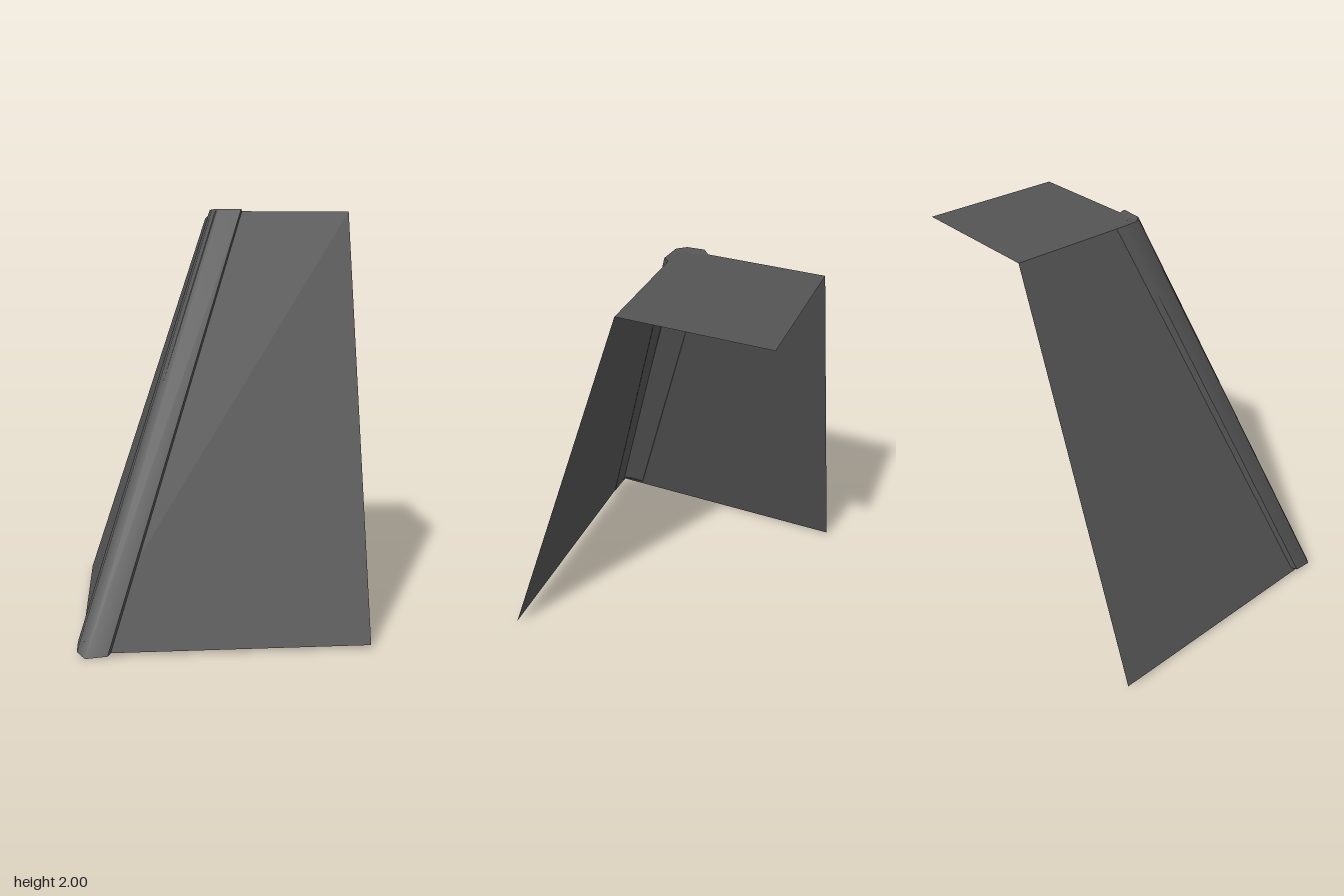
import * as THREE from 'three';
import { toCreasedNormals } from 'three/addons/utils/BufferGeometryUtils.js';

// Triangles from corner points, counter-clockwise seen from outside
function facesGeometry(triangles) {
  const g = new THREE.BufferGeometry();
  g.setAttribute('position', new THREE.Float32BufferAttribute(triangles.flat(2), 3));
  g.computeVertexNormals();
  return g;
}

const quad = (a, b, c, d) => [[a, b, c], [a, c, d]];

export function createModel() {
  const model = new THREE.Group();
  model.name = 'slopedCorner';
  const grey = new THREE.MeshStandardMaterial({ color: 0x545454, side: THREE.DoubleSide });
  grey.name = 'dark grey';

  const add = (name, geometry) => {
    const mesh = new THREE.Mesh(geometry, grey);
    mesh.name = name;
    model.add(mesh);
  };

  // Corners of the thin panels
  const right = 0.665, back = -0.672, low = 0.015, high = 1.99;
  const footCorner = [-0.65, low, 0.645];
  const topCorner = [0.005, high, -0.01];
  const topRight = [right, high, -0.01];
  const topBack = [0.005, high, back];

  add('frontWall', facesGeometry(quad(footCorner, [right, low, 0.645], topRight, topCorner)));
  add('sideWall', facesGeometry(quad([-0.65, low, back], footCorner, topCorner, topBack)));
  add('topPanel', facesGeometry(quad(topCorner, topRight, [right, high, back], topBack)));

  // Corner trim: sections at foot and top, from the side wall round to the front wall
  const foot = [
    [-0.638, 0.04, 0.51], [-0.667, 0.03, 0.535], [-0.667, 0.02, 0.63],
    [-0.63, 0, 0.667], [-0.53, 0.008, 0.667], [-0.515, 0.015, 0.643],
  ];
  const top = [
    [0.006, 1.99, -0.145], [-0.014, 2, -0.12], [-0.008, 2, -0.04],
    [0.025, 2, 0], [0.13, 2, 0.01], [0.137, 1.99, -0.012],
  ];
  const footInner = [-0.61, 0.06, 0.61];
  const topInner = [0.05, 1.993, -0.03];

  const sides = [], caps = [];
  for (let i = 0; i < foot.length - 1; i++) {
    sides.push(...quad(foot[i], foot[i + 1], top[i + 1], top[i]));
    caps.push([top[i], top[i + 1], topInner], [foot[i + 1], foot[i], footInner]);
  }
  add('cornerTrim', toCreasedNormals(facesGeometry(sides), 0.85));
  add('cornerTrimEnds', facesGeometry(caps));

  return model;
}
